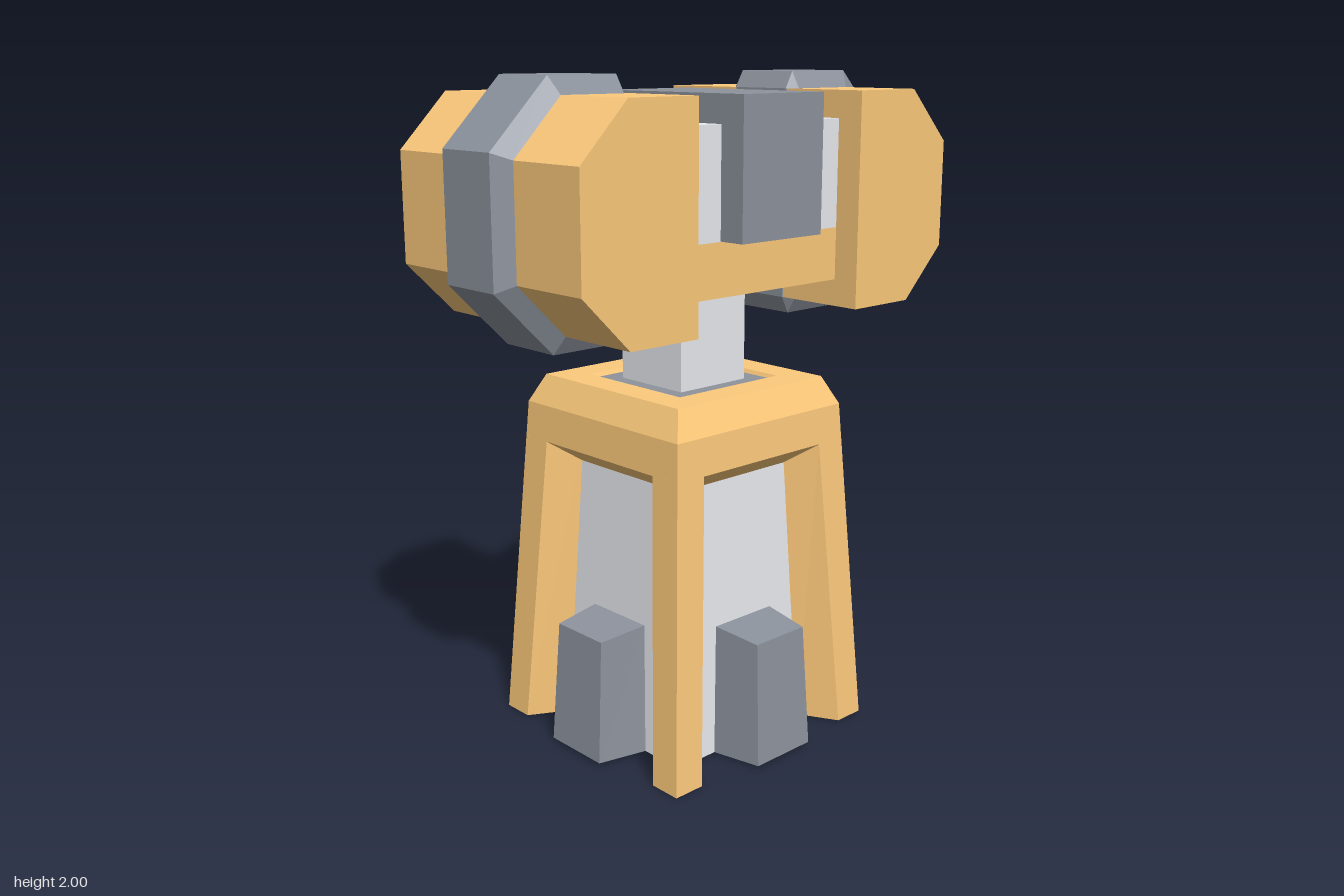
import * as THREE from 'three';

const mat = (color, extra = {}) => new THREE.MeshStandardMaterial({ color, flatShading: true, ...extra });
const SHELL = { side: THREE.DoubleSide };
const AMBER = mat(0xfdca7b);
const LIGHT = mat(0xe8ebf0);
const DARK = mat(0x8d939d);
const AMBER_SHELL = mat(0xfdca7b, SHELL);
const LIGHT_SHELL = mat(0xe8ebf0, SHELL);
const DARK_SHELL = mat(0x8d939d, SHELL);

const BASE_Z = 0.013;

function add(parent, name, geometry, material) {
  const mesh = new THREE.Mesh(geometry, material);
  mesh.name = name;
  parent.add(mesh);
  return mesh;
}

// Skin over rings of [x, y, z], counter-clockwise about the loft direction;
// an open loft leaves out the side between each ring's last and first point
function loft(rings, { capStart = true, capEnd = true, open = false } = {}) {
  const pos = [];
  const tri = (a, b, c) => pos.push(...a, ...b, ...c);
  const n = rings[0].length;
  for (let r = 0; r < rings.length - 1; r++) {
    for (let i = 0; i < (open ? n - 1 : n); i++) {
      const j = (i + 1) % n, A = rings[r], B = rings[r + 1];
      tri(A[i], A[j], B[j]);
      tri(A[i], B[j], B[i]);
    }
  }
  const first = rings[0], last = rings[rings.length - 1];
  for (let i = 1; i < n - 1; i++) {
    if (capStart) tri(first[0], first[i + 1], first[i]);
    if (capEnd) tri(last[0], last[i], last[i + 1]);
  }
  const g = new THREE.BufferGeometry();
  g.setAttribute('position', new THREE.Float32BufferAttribute(pos, 3));
  g.computeVertexNormals();
  return g;
}

const square = (y, h) => [[h, y, h], [h, y, -h], [-h, y, -h], [-h, y, h]];
const shapeOf = pts => new THREE.Shape(pts.map(p => new THREE.Vector2(...p)));

// Extrude a [z, y] side profile across x, centred
const across = (pts, width) =>
  new THREE.ExtrudeGeometry(shapeOf(pts), { depth: width, bevelEnabled: false })
    .translate(0, 0, -width / 2).rotateY(-Math.PI / 2);

// Distance of the recessed panel from the base axis at height y
const panelDepth = y => 0.28 - 0.0355 * y;

function buildBase() {
  const base = new THREE.Group();
  base.name = 'base';
  base.position.z = BASE_Z;

  // Collar with sloped lintels, chamfered rim and sunken top
  add(base, 'collar', loft([
    square(0.845, panelDepth(0.845)), square(0.91, 0.342), square(1.02, 0.335),
    square(1.105, 0.295), square(1.105, 0.2), square(1.085, 0.19),
  ]), AMBER);
  add(base, 'collarPlate', new THREE.BoxGeometry(0.378, 0.01, 0.378).translate(0, 1.09, 0), DARK);
  add(base, 'neck', new THREE.BoxGeometry(0.26, 0.34, 0.26).translate(0, 1.25, 0), LIGHT);

  // Sloped panel, notched where the foot bulges out of it
  const panel = new THREE.ShapeGeometry(shapeOf([
    [-0.235, 0], [-0.132, 0], [-0.115, 0.4], [0.115, 0.4], [0.132, 0], [0.235, 0], [0.183, 0.87], [-0.183, 0.87],
  ]));
  const p = panel.attributes.position;
  for (let i = 0; i < p.count; i++) p.setZ(i, panelDepth(p.getY(i)));
  panel.computeVertexNormals();

  // Hollow corner leg and hollow foot
  const legRing = (y, o, e, c, d = panelDepth(y)) => [[c, y, d], [e, y, o], [o, y, o], [o, y, e], [d, y, c]];
  const leg = loft([legRing(0, 0.4, 0.3, 0.235), legRing(0.912, 0.342, 0.24, 0.181)],
    { capStart: false, open: true });
  const footRing = (yBack, yFront, wBack, wFront, z) => [
    [-wBack, yBack, panelDepth(yBack)], [-wFront, yFront, z], [wFront, yFront, z], [wBack, yBack, panelDepth(yBack)]];
  const foot = loft([footRing(0, 0.01, 0.132, 0.11, 0.443), footRing(0.4, 0.385, 0.115, 0.098, 0.42)],
    { capStart: false, open: true });

  for (let i = 0; i < 4; i++) {
    const quarter = new THREE.Group();
    quarter.name = 'baseSide';
    quarter.rotation.y = i * Math.PI / 2;
    add(quarter, 'sidePanel', panel, LIGHT_SHELL);
    add(quarter, 'cornerLeg', leg, AMBER_SHELL);
    add(quarter, 'sideFoot', foot, DARK_SHELL);
    base.add(quarter);
  }
  return base;
}

function buildBody() {
  const body = new THREE.Group();
  body.name = 'headBody';
  add(body, 'lowerBody', across([[-0.3, 1.4], [0.33, 1.4], [0.33, 1.555], [-0.3, 1.555]], 0.66), AMBER);
  add(body, 'upperBody', across(
    [[-0.3, 1.555], [0.33, 1.555], [0.33, 1.87], [-0.145, 1.87], [-0.3, 1.645]], 0.66), LIGHT);
  add(body, 'centreHood', across(
    [[-0.3, 1.645], [0, 1.556], [0.413, 1.556], [0.413, 1.95], [-0.145, 1.95]], 0.315), DARK);
  return body;
}

function buildPod(s) {
  const pod = new THREE.Group();
  pod.name = s > 0 ? 'leftPod' : 'rightPod';
  const ring = (pts, z) => {
    const r = pts.map(([x, y]) => [s * x, y, z]);
    return s > 0 ? r : r.reverse();
  };

  // Housing with an open recess at the back
  const outline = [[0.32, 1.32], [0.557, 1.32], [0.713, 1.475], [0.713, 1.793], [0.557, 1.95], [0.32, 1.95]];
  const opening = [[0.39, 1.39], [0.53, 1.39], [0.643, 1.5], [0.643, 1.767], [0.53, 1.88], [0.39, 1.88]];
  add(pod, 'podHousing', loft([
    ring(opening, -0.25), ring(opening, -0.375), ring(outline, -0.375), ring(outline, 0.413),
  ]), AMBER);

  // Bevelled band around the housing
  const inner = [[0.345, 1.32], [0.557, 1.32], [0.713, 1.475], [0.713, 1.793],
    [0.557, 1.95], [0.345, 1.95], [0.34, 1.94], [0.34, 1.33]];
  const outer = [[0.345, 1.268], [0.577, 1.268], [0.765, 1.455], [0.765, 1.813],
    [0.577, 2], [0.345, 2], [0.318, 1.95], [0.318, 1.32]];
  add(pod, 'podBand', loft([ring(inner, -0.117), ring(outer, -0.087), ring(outer, 0.12), ring(inner, 0.15)]), DARK);

  // Two barrels facing backwards, each with a shallow dark bore
  const profile = [[0.078, 0], [0.078, 0.205], [0.052, 0.205], [0.052, 0.19]].map(q => new THREE.Vector2(...q));
  const barrel = new THREE.LatheGeometry(profile, 20).rotateX(-Math.PI / 2);
  const bore = new THREE.CircleGeometry(0.053, 20).rotateY(Math.PI).translate(0, 0, -0.192);
  for (const y of [1.517, 1.752]) {
    add(pod, 'barrel', barrel, LIGHT).position.set(s * 0.513, y, -0.25);
    add(pod, 'barrelBore', bore, DARK).position.set(s * 0.513, y, -0.25);
  }
  return pod;
}

export function createModel() {
  const model = new THREE.Group();
  model.name = 'twinPodTurret';
  model.add(buildBase(), buildBody(), buildPod(1), buildPod(-1));
  return model;
}
